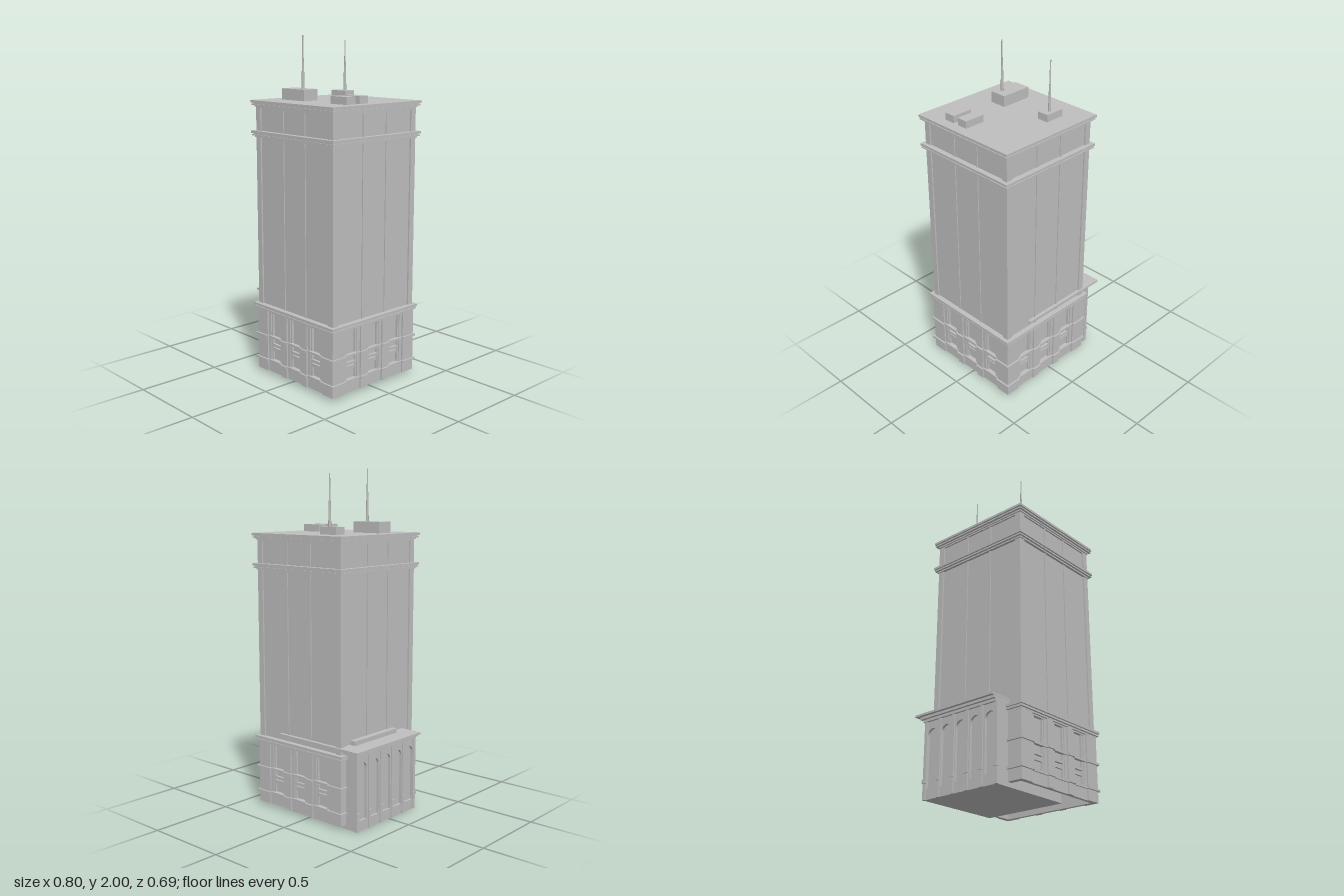
import * as THREE from 'three';

const stone = new THREE.MeshStandardMaterial({ color: 0xbfbfbf });
stone.name = 'stone';

function add(parent, name, geometry) {
  const mesh = new THREE.Mesh(geometry, stone);
  mesh.name = name;
  parent.add(mesh);
  return mesh;
}

// Box given by its limits on each axis
function box(parent, name, x0, x1, y0, y1, z0, z1) {
  const m = add(parent, name, new THREE.BoxGeometry(x1 - x0, y1 - y0, z1 - z0));
  m.position.set((x0 + x1) / 2, (y0 + y1) / 2, (z0 + z1) / 2);
  return m;
}

// Square slab around the tower axis
const slab = (parent, name, half, y0, y1) => box(parent, name, -half, half, y0, y1, -half, half);

function rectangle(x0, x1, y0, y1) {
  return new THREE.Shape([[x0, y0], [x1, y0], [x1, y1], [x0, y1]].map(p => new THREE.Vector2(...p)));
}

function extrude(shape, depth) {
  return new THREE.ExtrudeGeometry(shape, { depth, bevelEnabled: false, curveSegments: 6 });
}

const bays = [-0.174, 0, 0.174];

// One side of the base: wall with tall windows, piers and ledges, facing +z
function baseSide() {
  const side = new THREE.Group();
  side.name = 'baseSide';
  const wall = rectangle(-0.318, 0.318, 0.025, 0.41);
  for (const u of bays) wall.holes.push(rectangle(u - 0.043, u + 0.043, 0.1, 0.39));
  add(side, 'windowWall', extrude(wall, 0.02)).position.z = 0.298;

  for (const u of bays) {
    box(side, 'windowPane', u - 0.045, u + 0.045, 0.095, 0.395, 0.292, 0.299);
    box(side, 'spandrel', u - 0.043, u + 0.043, 0.155, 0.175, 0.298, 0.31);
    box(side, 'spandrelRail', u - 0.043, u + 0.043, 0.185, 0.2, 0.298, 0.313);
    for (const s of [-1, 1])
      box(side, 'windowJamb', u + s * 0.038 - 0.005, u + s * 0.038 + 0.005, 0.1, 0.39, 0.298, 0.312);
  }

  const piers = [[-0.3275, -0.238], [-0.11, -0.064], [0.064, 0.11], [0.238, 0.3275]];
  for (const [a, b] of piers) {
    box(side, 'pier', a, b, 0.025, 0.41, 0.31, 0.3275);
    const a2 = a < -0.3 ? -0.338 : a - 0.004, b2 = b > 0.3 ? 0.338 : b + 0.004;
    for (const y of [0.094, 0.243]) box(side, 'pierLedge', a2, b2, y - 0.006, y + 0.006, 0.31, 0.338);
  }
  for (const y of [0.094, 0.243]) box(side, 'bayLedge', -0.318, 0.318, y - 0.006, y + 0.006, 0.305, 0.326);
  return side;
}

// One side of the shaft: piers framing shallow panels, facing +z
function shaftSide() {
  const side = new THREE.Group();
  side.name = 'shaftSide';
  for (const [y0, y1] of [[0.43, 1.44], [1.455, 1.59]]) {
    for (const s of [-1, 1]) {
      box(side, 'cornerPier', Math.min(s * 0.285, s * 0.322), Math.max(s * 0.285, s * 0.322), y0, y1, 0.31, 0.322);
      box(side, 'mullion', s * 0.09 - 0.005, s * 0.09 + 0.005, y0, y1, 0.31, 0.319);
    }
  }
  return side;
}

// Stepped moulding ending at height y
function cornice(parent, name, y, half) {
  slab(parent, name + 'Top', half, y - 0.014, y);
  slab(parent, name + 'Middle', half - 0.009, y - 0.021, y - 0.014);
  slab(parent, name + 'Lower', half - 0.004, y - 0.028, y - 0.021);
  slab(parent, name + 'Foot', half - 0.016, y - 0.037, y - 0.028);
}

function antenna(parent, x, z, y0, y1) {
  const h = y1 - y0, cut = y0 + h * 0.5;
  for (const [a, b, r0, r1] of [[y0, cut, 0.009, 0.006], [cut, y1, 0.005, 0.003]])
    add(parent, 'antenna', new THREE.CylinderGeometry(r1, r0, b - a, 8)).position.set(x, (a + b) / 2, z);
}

export function createModel() {
  const model = new THREE.Group();
  model.name = 'officeTower';

  // Main tower, four matching sides
  const tower = new THREE.Group();
  tower.name = 'tower';
  tower.position.set(0.052, 0, 0.001);
  model.add(tower);
  for (let i = 0; i < 4; i++) {
    for (const side of [baseSide(), shaftSide()]) {
      side.rotation.y = i * Math.PI / 2;
      tower.add(side);
    }
  }
  slab(tower, 'shaftCore', 0.313, 0.4, 1.6);
  slab(tower, 'shaftHead', 0.322, 1.59, 1.605);
  cornice(tower, 'baseCornice', 0.435, 0.344);
  cornice(tower, 'beltCornice', 1.462, 0.344);
  cornice(tower, 'roofCornice', 1.636, 0.345);

  // Low annex running into the tower
  const annex = new THREE.Group();
  annex.name = 'annex';
  model.add(annex);
  box(annex, 'annexCore', -0.342, 0.17, 0, 0.46, -0.285, 0.235);
  box(annex, 'annexRoof', -0.4, 0.2, 0.464, 0.476, -0.332, 0.236);
  box(annex, 'annexRoofMoulding', -0.382, 0.18, 0.45, 0.464, -0.31, 0.235);
  box(annex, 'annexFrieze', -0.368, 0.17, 0.435, 0.45, -0.298, 0.235);
  box(annex, 'annexParapet', -0.3, -0.265, 0.476, 0.502, -0.235, 0.137);

  // Arcade on the outer face of the annex
  const count = 5, step = 0.525 / count;
  const arcade = rectangle(-0.2625, 0.2625, 0, 0.44);
  for (let i = 0; i < count; i++) {
    const u = (i - (count - 1) / 2) * step, r = 0.034;
    const arch = new THREE.Path();
    arch.moveTo(u - r, 0.06);
    arch.lineTo(u + r, 0.06);
    arch.lineTo(u + r, 0.36);
    arch.absarc(u, 0.36, r, 0, Math.PI, false);
    arch.lineTo(u - r, 0.06);
    arcade.holes.push(arch);
  }
  const wall = add(annex, 'arcadeWall', extrude(arcade, 0.015));
  wall.rotation.y = -Math.PI / 2;
  wall.position.set(-0.341, 0, -0.0255);
  for (let i = 0; i <= count; i++) {
    const z = -0.28 + i * 0.51 / count;
    box(annex, 'pilaster', -0.363, -0.35, 0, 0.435, z - 0.01, z + 0.01);
    box(annex, 'pilasterFoot', -0.368, -0.35, 0.09, 0.11, z - 0.013, z + 0.013);
  }

  // Rooftop plant and antennas
  const roof = new THREE.Group();
  roof.name = 'rooftop';
  model.add(roof);
  box(roof, 'largePlantRoom', -0.197, -0.006, 1.63, 1.7, 0.087, 0.19);
  box(roof, 'smallPlantRoom', -0.148, -0.028, 1.63, 1.678, -0.222, -0.153);
  box(roof, 'ventUnit', 0.21, 0.335, 1.63, 1.678, 0.025, 0.091);
  box(roof, 'ventUnit', 0.21, 0.335, 1.63, 1.678, 0.123, 0.19);
  antenna(roof, -0.055, 0.153, 1.7, 2);
  antenna(roof, -0.075, -0.193, 1.675, 1.97);
  return model;
}
